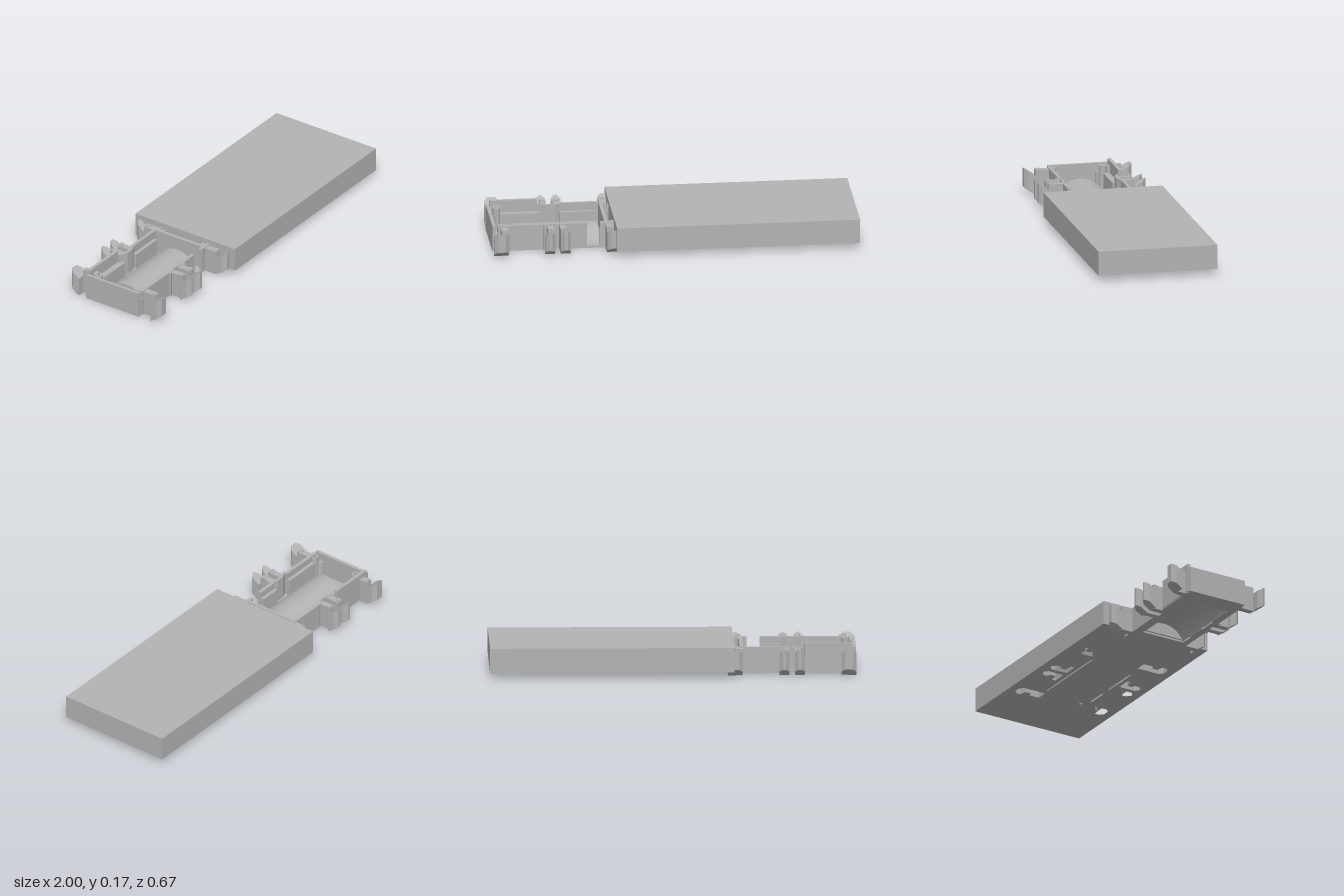
import * as THREE from 'three';

const grey = new THREE.MeshStandardMaterial({ color: 0xb3b3b3 });
grey.name = 'plain grey';

const MID = -0.65; // middle of the frame along x

function mesh(parent, geometry, name) {
  const m = new THREE.Mesh(geometry, grey);
  m.name = name;
  parent.add(m);
  return m;
}

function box(parent, name, x0, x1, y0, y1, z0, z1) {
  const g = new THREE.BoxGeometry(x1 - x0, y1 - y0, z1 - z0);
  g.translate((x0 + x1) / 2, (y0 + y1) / 2, (z0 + z1) / 2);
  return mesh(parent, g, name);
}

// Plan outline of [x, z] points raised from y0 to y1
function slabGeometry(points, y0, y1, holes = []) {
  const toVectors = (list) => list.map(([x, z]) => new THREE.Vector2(x, -z));
  const shape = new THREE.Shape(toVectors(points));
  holes.forEach((h) => shape.holes.push(new THREE.Path(toVectors(h))));
  const g = new THREE.ExtrudeGeometry(shape, { depth: y1 - y0, bevelEnabled: false, curveSegments: 8 });
  g.rotateX(-Math.PI / 2);
  g.translate(0, y0, 0);
  return g;
}

const rect = (x0, x1, z0, z1) => [[x0, z0], [x1, z0], [x1, z1], [x0, z1]];

// Foot: plan with cut corners, sheared upwards towards its tip
function addFoot(parent, side, mirror, x0, x1, neck0, neck1, pinX) {
  const fx = (x) => (mirror ? 2 * MID - x : x);
  const c = 0.02;
  const outline = [[x0, 0.24], [x1, 0.24], [x1, 0.3 - c], [x1 - c, 0.3], [x0 + c, 0.3], [x0, 0.3 - c]];
  const g = slabGeometry(outline.map(([x, z]) => [fx(x), z * side]), 0, 0.105);
  const p = g.attributes.position;
  for (let i = 0; i < p.count; i++) p.setY(i, p.getY(i) + (Math.abs(p.getZ(i)) - 0.24) * 0.66);
  g.computeVertexNormals();
  const foot = new THREE.Group();
  foot.name = 'foot';
  parent.add(foot);
  mesh(foot, g, 'footTip');
  const [a, b] = [fx(neck0), fx(neck1)].sort((m, n) => m - n);
  const [s, e] = [0.16 * side, 0.242 * side].sort((m, n) => m - n);
  box(foot, 'footNeck', a, b, 0, 0.14, s, e);
  const pin = new THREE.CylinderGeometry(0.013, 0.013, 0.145, 16);
  pin.translate(fx(pinX), 0.0725, 0.228 * side);
  mesh(foot, pin, 'footPin');
}

function addFrame(root) {
  const frame = new THREE.Group();
  frame.name = 'frame';
  root.add(frame);

  // Floor with an opening under the arch
  const floor = [
    [-1, -0.17], [-0.97, -0.19], [-0.71, -0.19], [-0.67, -0.165], [-0.63, -0.165], [-0.59, -0.18], [-0.3, -0.18],
    [-0.3, 0.165], [-0.59, 0.165], [-0.63, 0.15], [-0.67, 0.15], [-0.71, 0.165], [-0.97, 0.165], [-1, 0.15],
  ];
  mesh(frame, slabGeometry(floor, 0, 0.012, [rect(-0.88, -0.41, -0.13, 0.13)]), 'floor');

  // Thin arched cover lying along x
  const R = 0.146, cy = -0.056, a = Math.asin(0.13 / R), t = 0.012;
  const arch = new THREE.Shape();
  arch.absarc(0, cy, R, Math.PI / 2 - a, Math.PI / 2 + a, false);
  arch.absarc(0, cy, R - t, Math.PI / 2 + a, Math.PI / 2 - a, true);
  arch.closePath();
  const cap = new THREE.Shape();
  cap.absarc(0, cy, R, Math.PI / 2 - a, Math.PI / 2 + a, false);
  cap.closePath();
  const lay = (shape, x, depth, name) => {
    const g = new THREE.ExtrudeGeometry(shape, { depth, bevelEnabled: false, curveSegments: 32 });
    g.rotateY(Math.PI / 2);
    g.translate(x, 0, 0);
    mesh(frame, g, name);
  };
  lay(arch, -0.88, 0.47, 'arch');
  lay(cap, -0.88, 0.01, 'archEnd');
  lay(cap, -0.42, 0.01, 'archEnd');

  // Rear walls, the first one taller
  box(frame, 'rearWall', -0.98, -0.72, 0.005, 0.168, -0.195, -0.175);
  box(frame, 'rearWallStep', -0.97, -0.7, 0.005, 0.1, -0.176, -0.14);
  box(frame, 'rearWall', -0.6, -0.36, 0.005, 0.145, -0.178, -0.16);
  box(frame, 'rearWallStep', -0.6, -0.4, 0.005, 0.1, -0.162, -0.14);

  // Front walls with an open notch near the block
  for (const [x0, x1] of [[-0.97, -0.71], [-0.6, -0.48]]) {
    box(frame, 'frontWall', x0, x1, 0.005, 0.145, 0.145, 0.165);
    box(frame, 'frontWallStep', x0, x1, 0.005, 0.11, 0.125, 0.146);
  }
  box(frame, 'frontWall', -0.41, -0.33, 0.005, 0.145, 0.145, 0.165);

  // End walls
  box(frame, 'outerEndWall', -1, -0.982, 0, 0.145, -0.19, 0.16);
  box(frame, 'innerEndWall', -0.385, -0.365, 0, 0.145, -0.17, 0.16);

  for (const side of [1, -1]) {
    // Wall bowing inwards between the middle feet
    const bow = [[-0.72, 0.165], [-0.675, 0.145], [-0.625, 0.145], [-0.58, 0.165], [-0.58, 0.18],
      [-0.625, 0.16], [-0.675, 0.16], [-0.72, 0.18]];
    mesh(frame, slabGeometry(bow.map(([x, z]) => [x, z * side]), 0, 0.145), 'bowedWall');

    for (const mirror of [false, true]) {
      addFoot(frame, side, mirror, -1, -0.92, -0.957, -0.92, -0.942);
      addFoot(frame, side, mirror, -0.72, -0.665, -0.702, -0.667, -0.69);

      // Hollow corner post with a gusset to the end wall
      const px = mirror ? -0.345 : -0.948;
      const hole = [], ring = [];
      for (let i = 0; i < 16; i++) {
        const u = (i / 16) * Math.PI * 2;
        ring.push([px + 0.022 * Math.cos(u), 0.142 * side + 0.022 * Math.sin(u)]);
        hole.push([px + 0.012 * Math.cos(u), 0.142 * side + 0.012 * Math.sin(u)]);
      }
      mesh(frame, slabGeometry(ring, 0.01, 0.14, [hole]), 'cornerPost');
    }
    const gusset = [[-0.985, 0.105], [-0.97, 0.105], [-0.935, 0.14], [-0.935, 0.165], [-0.985, 0.165]];
    mesh(frame, slabGeometry(gusset.map(([x, z]) => [x, z * side]), 0.01, 0.1), 'cornerGusset');
  }
}

function addBlock(root) {
  const block = new THREE.Group();
  block.name = 'block';
  root.add(block);

  // Recesses on the underside, shaped like the feet and walls of the frame
  const C = 0.333;
  const recesses = [rect(C + 0.27, C + 0.345, -0.11, 0.11)];
  for (const s of [1, -1]) {
    for (const m of [1, -1]) {
      const place = (list) => list.map(([x, z]) => [C + m * x, s * z]);
      recesses.push(
        place([[0.27, 0.13], [0.335, 0.13], [0.335, 0.19], [0.31, 0.2], [0.31, 0.23], [0.35, 0.24],
          [0.35, 0.265], [0.33, 0.285], [0.29, 0.285], [0.27, 0.265]]),
        place([[0.015, 0.17], [0.1, 0.17], [0.1, 0.19], [0.05, 0.2], [0.05, 0.23], [0.07, 0.24],
          [0.07, 0.265], [0.05, 0.285], [0.035, 0.285], [0.015, 0.265]]),
      );
    }
    recesses.push(rect(C - 0.23, C + 0.23, s * 0.135, s * 0.145));
  }
  mesh(block, slabGeometry(rect(-0.333, 1, -0.333, 0.333), 0.032, 0.12, recesses), 'recessedBase');
  box(block, 'blockTop', -0.333, 1, 0.12, 0.168, -0.333, 0.333);
}

export function createModel() {
  const root = new THREE.Group();
  root.name = 'frameAndBlock';
  addFrame(root);
  addBlock(root);
  return root;
}
